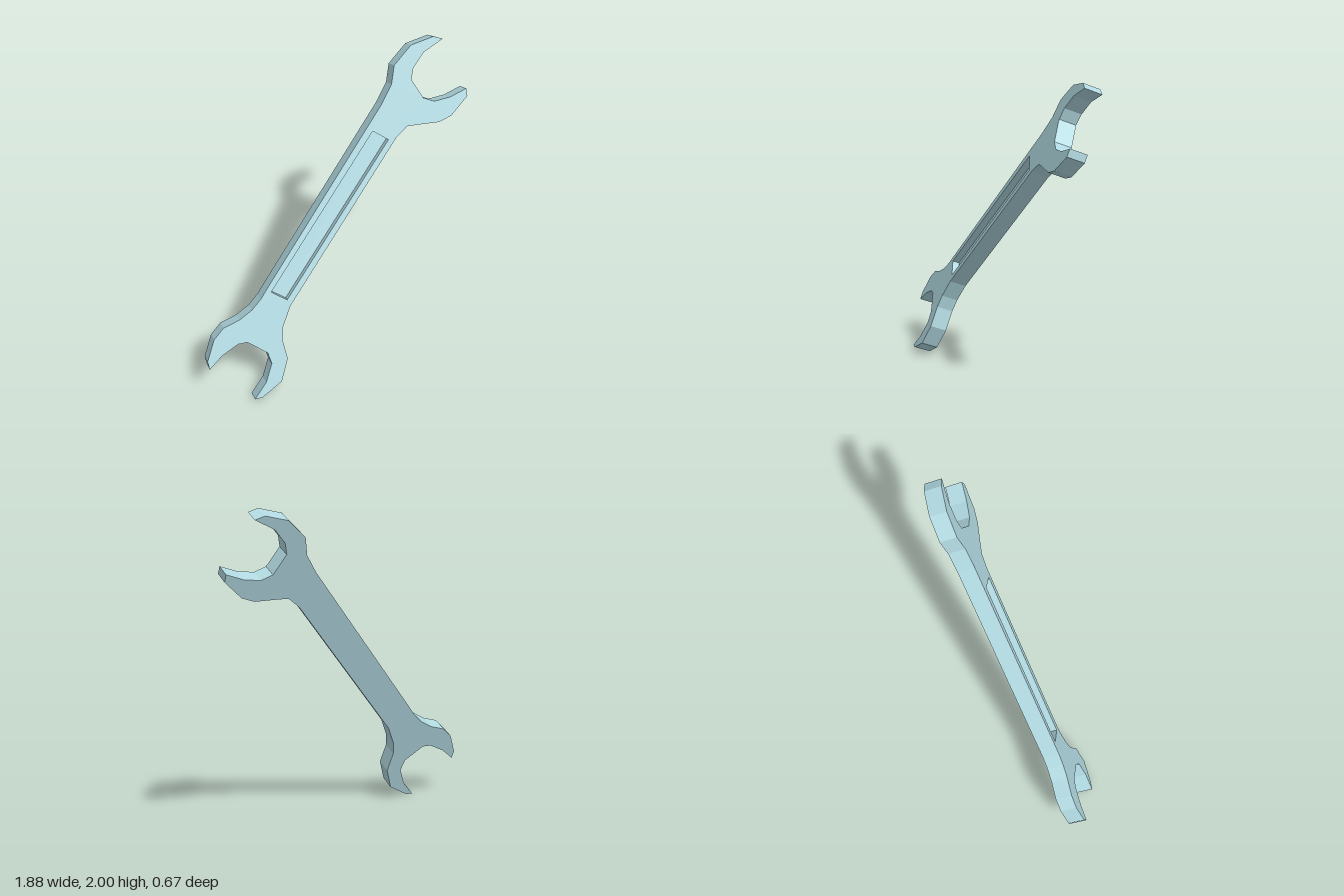
import * as THREE from 'three';

// Thickness of the tool, as the offset from its front face to its back face
const BACK = new THREE.Vector3(0.055, -0.039, -0.085);
const SLOT_DEPTH = 0.4; // share of the thickness

const toPoints = (list) => list.map(([x, y]) => new THREE.Vector2(x, y));

// Extrudes a shape from the back (0) to the front (1), then tilts it into the leaning plane
function tiltedSlab(shape, from, to) {
  const geo = new THREE.ExtrudeGeometry(shape, { depth: to - from, bevelEnabled: false });
  geo.translate(0, 0, from - 1);
  geo.applyMatrix4(new THREE.Matrix4().set(
    1, 0, -BACK.x, 0,
    0, 1, -BACK.y, 0,
    0.645, -0.455, -BACK.z, 0.515,
    0, 0, 0, 1,
  ));
  return geo;
}

export function createModel() {
  const model = new THREE.Group();
  model.name = 'wrench';
  const steel = new THREE.MeshStandardMaterial({ color: 0xb0d8e0 });
  steel.name = 'paleBlueSteel';

  const upperJaw = [
    [0.54, 1.87], [0.66, 1.97], [0.79, 2.0], [0.835, 1.979], [0.715, 1.92], [0.635, 1.84],
    [0.605, 1.775], [0.637, 1.66], [0.69, 1.63], [0.78, 1.64], [0.88, 1.675], [0.873, 1.63],
    [0.755, 1.53], [0.68, 1.505], [0.56, 1.51], [0.505, 1.51],
  ];
  const handleLowerEdge = [[0.43, 1.455], [-0.415, 0.57]];
  const lowerJaw = [
    [-0.49, 0.455], [-0.52, 0.375], [-0.53, 0.25], [-0.605, 0.115], [-0.735, 0.04],
    [-0.775, 0.039], [-0.685, 0.13], [-0.62, 0.24], [-0.62, 0.31], [-0.7, 0.4], [-0.75, 0.4],
    [-0.85, 0.35], [-0.94, 0.28], [-0.935, 0.33], [-0.86, 0.455], [-0.79, 0.515],
    [-0.695, 0.545], [-0.615, 0.59], [-0.55, 0.645],
  ];
  const handleUpperEdge = [[-0.485, 0.715], [0.41, 1.66], [0.495, 1.765]];
  // Runs against the outline, so that the slot walls face inwards
  const slot = toPoints([[0.32, 1.515], [-0.485, 0.675], [-0.42, 0.61], [0.385, 1.45]]);

  // Handle and both jaws in one piece, with the slot cut out
  const outline = new THREE.Shape(toPoints([...upperJaw, ...handleLowerEdge, ...lowerJaw, ...handleUpperEdge]));
  outline.holes.push(new THREE.Path(slot));
  const body = new THREE.Mesh(tiltedSlab(outline, 0, 1), steel);
  body.name = 'handleAndJaws';

  // Filling behind the slot, leaving a recess on the front only
  const floor = new THREE.Mesh(tiltedSlab(new THREE.Shape(slot), 0, 1 - SLOT_DEPTH), steel);
  floor.name = 'slotFloor';

  model.add(body, floor);
  return model;
}
